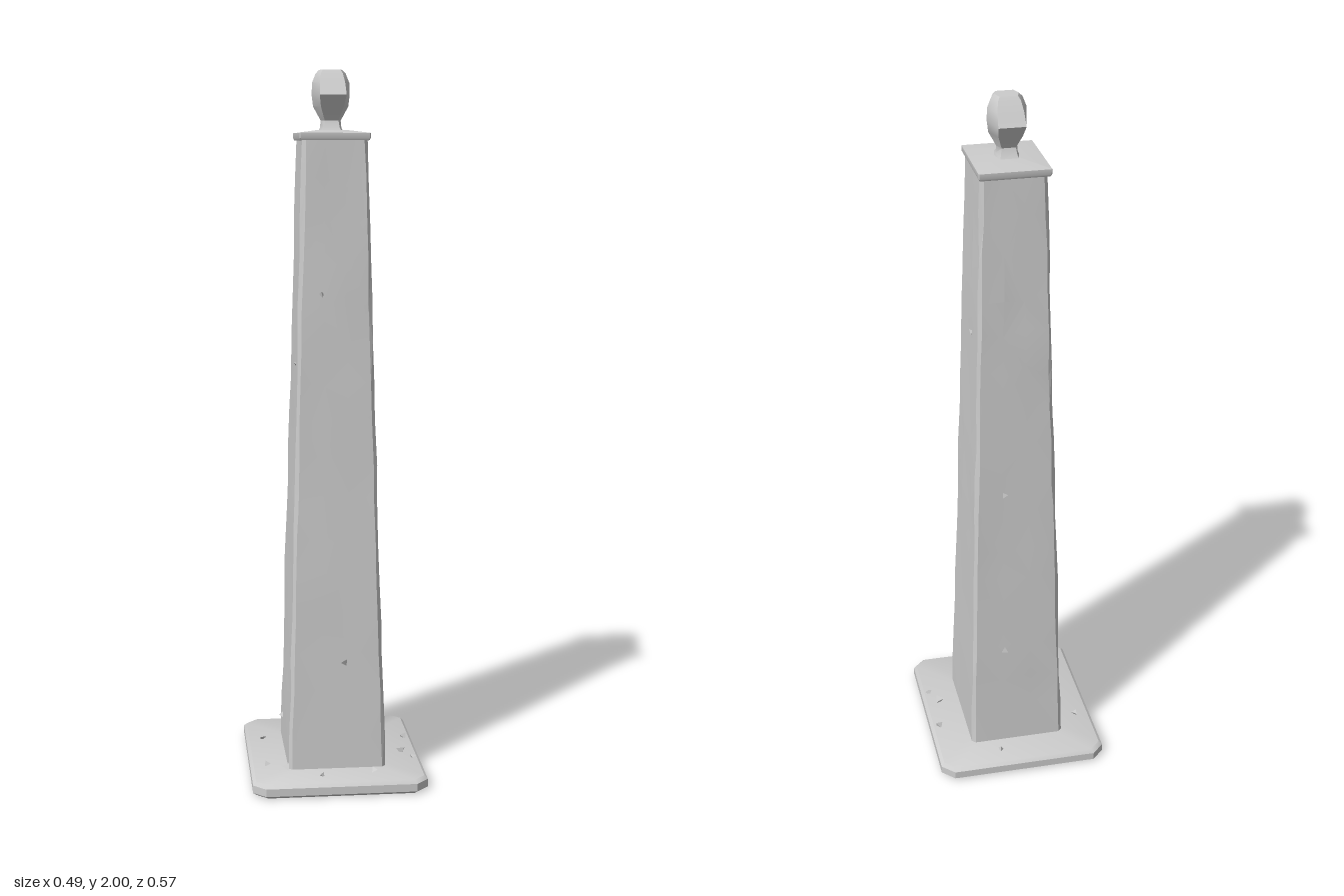
import * as THREE from 'three';
import { toCreasedNormals } from 'three/addons/utils/BufferGeometryUtils.js';

// Small seeded generator for the weathered surface
function seeded(seed) {
  return () => (seed = (seed * 16807) % 2147483647) / 2147483647;
}

// Closed solid through rings of points, listed bottom to top, each running from +z towards +x
function loft(rings, crease) {
  const n = rings[0].length, pos = [];
  const tri = (a, b, c) => pos.push(...a, ...b, ...c);
  for (let r = 0; r < rings.length - 1; r++) {
    for (let i = 0; i < n; i++) {
      const j = (i + 1) % n, lo = rings[r], hi = rings[r + 1];
      if ((r + i) % 2) { tri(lo[i], lo[j], hi[j]); tri(lo[i], hi[j], hi[i]); }
      else { tri(lo[i], lo[j], hi[i]); tri(lo[j], hi[j], hi[i]); }
    }
  }
  const first = rings[0], last = rings[rings.length - 1];
  const middle = (ring) => [0, 1, 2].map((k) => ring.reduce((s, p) => s + p[k], 0) / n);
  const a = middle(first), b = middle(last);
  for (let i = 0; i < n; i++) {
    const j = (i + 1) % n;
    tri(a, first[j], first[i]);
    tri(b, last[i], last[j]);
  }
  const g = new THREE.BufferGeometry();
  g.setAttribute('position', new THREE.Float32BufferAttribute(pos, 3));
  g.computeVertexNormals();
  return crease ? toCreasedNormals(g, crease) : g;
}

// Rectangle with cut corners; each long side is divided into equal steps
function rectRing(y, hx, hz, cut, steps = 1, cx = 0, cz = 0) {
  const c = [[-hx + cut, hz], [hx - cut, hz], [hx, hz - cut], [hx, -hz + cut],
    [hx - cut, -hz], [-hx + cut, -hz], [-hx, -hz + cut], [-hx, hz - cut]];
  const ring = [];
  for (let s = 0; s < 8; s += 2) {
    for (let k = 0; k <= steps; k++) {
      const t = k / steps;
      ring.push([cx + c[s][0] + (c[s + 1][0] - c[s][0]) * t, y,
        cz + c[s][1] + (c[s + 1][1] - c[s][1]) * t]);
    }
  }
  return ring;
}

export function createModel() {
  const group = new THREE.Group();
  const stone = new THREE.MeshStandardMaterial({ color: 0xcccccc });
  stone.name = 'pale stone';
  const add = (name, geometry) => {
    const mesh = new THREE.Mesh(geometry, stone);
    mesh.name = name;
    group.add(mesh);
    return mesh;
  };
  const random = seeded(4217);

  // Base slab with softened edges
  add('baseSlab', loft([
    rectRing(0, 0.238, 0.275, 0.032),
    rectRing(0.008, 0.247, 0.285, 0.035),
    rectRing(0.03, 0.247, 0.285, 0.035),
    rectRing(0.039, 0.238, 0.275, 0.032),
  ], 0.75));

  // Tapered shaft with a slightly chipped surface
  const levels = 16, shaft = [];
  for (let i = 0; i <= levels; i++) {
    const t = i / levels;
    const y = 0.035 + 1.778 * t;
    const ring = rectRing(y, 0.139 - 0.049 * t, 0.168 - 0.064 * t, 0.01, 3, -0.001, -0.004);
    const rough = i === 0 || i === levels ? 0 : 0.0045;
    shaft.push(ring.map(([x, h, z]) => [
      x + (random() - 0.5) * rough,
      h + (random() - 0.5) * rough * 10,
      z + (random() - 0.5) * rough,
    ]));
  }
  add('shaft', loft(shaft, 0.1));

  // Cap slab with a gently sloping top
  add('capSlab', loft([
    rectRing(1.808, 0.094, 0.114, 0.002, 1, -0.002, -0.004),
    rectRing(1.814, 0.097, 0.117, 0.002, 1, -0.002, -0.004),
    rectRing(1.828, 0.097, 0.117, 0.002, 1, -0.002, -0.004),
    rectRing(1.836, 0.04, 0.05, 0.002, 1, -0.002, -0.004),
  ], 0.6));

  // Six-sided finial: height, half width at the ends, half width in the middle, half depth
  const finial = [
    [1.83, 0.028, 0.036, 0.042],
    [1.843, 0.022, 0.03, 0.032],
    [1.862, 0.019, 0.028, 0.026],
    [1.9, 0.032, 0.049, 0.051],
    [1.931, 0.037, 0.053, 0.072],
    [1.965, 0.035, 0.052, 0.05],
    [1.99, 0.03, 0.042, 0.034],
    [2, 0.024, 0.032, 0.026],
  ].map(([y, end, mid, depth]) => [
    [-end, depth], [end, depth], [mid, 0], [end, -depth], [-end, -depth], [-mid, 0],
  ].map(([x, z]) => [x - 0.003, y, z - 0.006]));
  add('finial', loft(finial, 0.7));

  // Loose stone chips on the slab and splinters on the shaft: x, y, z, size
  const chips = [
    [0.2, 0.045, 0.05, 0.017], [0.222, 0.043, -0.07, 0.014], [0.225, 0.042, 0.1, 0.012],
    [-0.2, 0.043, -0.1, 0.013], [-0.145, 0.045, 0.16, 0.015], [-0.2, 0.042, 0.12, 0.012],
    [0.1, 0.043, 0.2, 0.012], [-0.05, 0.042, 0.22, 0.01], [0.06, 0.042, -0.22, 0.011],
    [-0.138, 0.12, -0.075, 0.015], [0.03, 0.88, -0.14, 0.013], [0.035, 0.36, -0.16, 0.013],
    [0.02, 0.35, 0.158, 0.012], [-0.105, 1.19, 0.06, 0.01], [0.102, 1.35, -0.04, 0.01],
    [-0.04, 1.39, 0.117, 0.01],
  ];
  const chipGeometry = new THREE.TetrahedronGeometry(1);
  for (const [x, y, z, size] of chips) {
    const chip = add('stoneChip', chipGeometry);
    chip.position.set(x, y, z);
    chip.scale.set(size, size * 0.8, size);
    chip.rotation.set(random() * 6, random() * 6, random() * 6);
  }

  return group;
}
